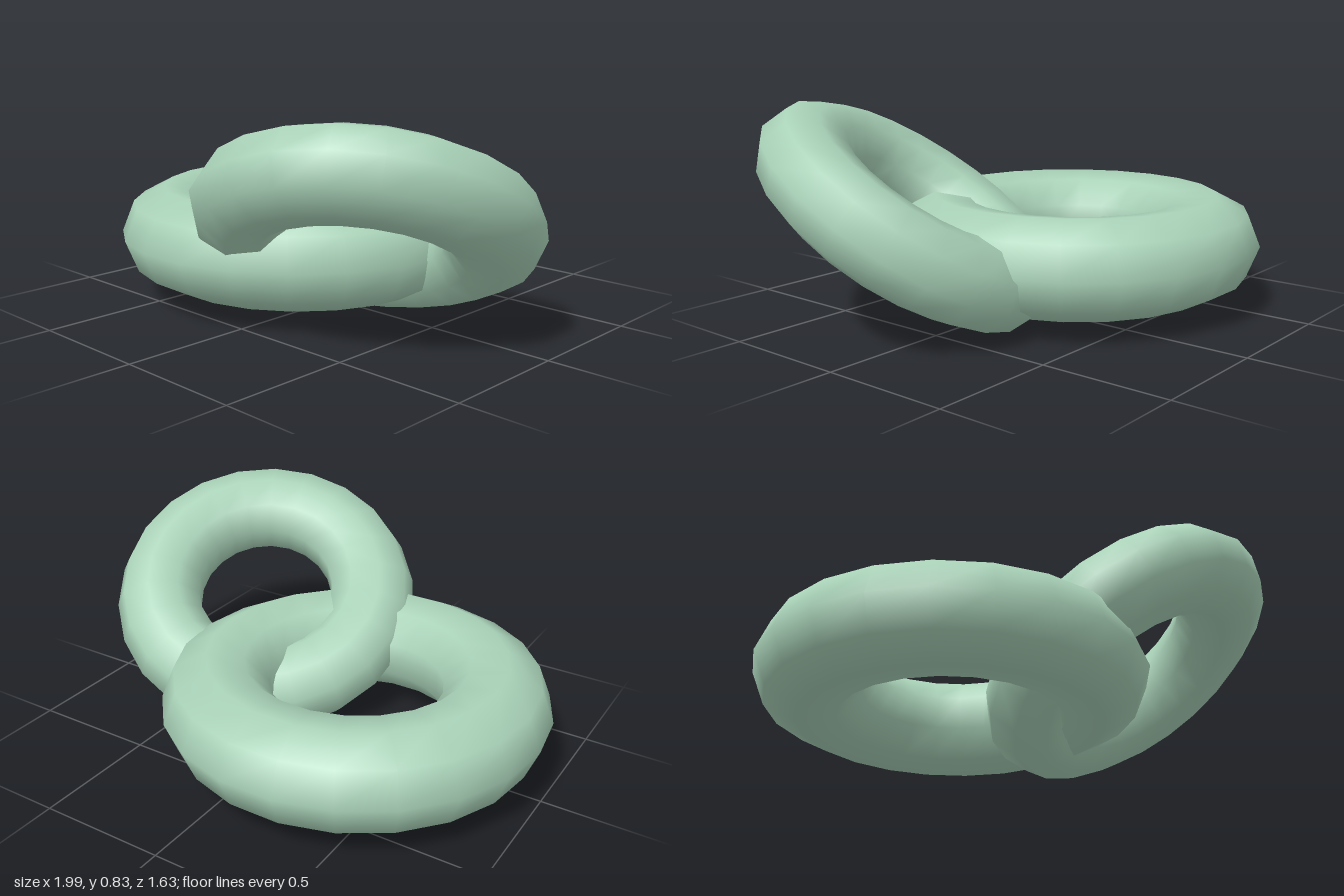
import * as THREE from 'three';

const green = new THREE.MeshStandardMaterial({ color: 0xa9d2b8 });
green.name = 'sageGreen';

// A slightly flattened ring lying flat, its axis along y
function makeRing(name, size) {
  const geometry = new THREE.TorusGeometry(0.536, 0.214, 9, 22);
  geometry.scale(1, 1, 0.91);
  geometry.rotateX(-Math.PI / 2);
  geometry.scale(size, size, size);
  const ring = new THREE.Mesh(geometry, green);
  ring.name = name;
  return ring;
}

export function createModel() {
  const group = new THREE.Group();
  group.name = 'linkedRings';

  // Large ring, level
  const large = makeRing('largeRing', 1);
  large.position.set(-0.25, 0.26, -0.073);
  group.add(large);

  // Small ring, tilted up towards the front left and linked through the large one
  const small = makeRing('smallRing', 0.85);
  const axis = new THREE.Vector3(-0.28, 0.835, -0.473).normalize();
  const across = new THREE.Vector3(1, 0, 0).projectOnPlane(axis).normalize();
  const along = new THREE.Vector3().crossVectors(across, axis);
  small.quaternion.setFromRotationMatrix(new THREE.Matrix4().makeBasis(across, axis, along));
  small.position.set(0.383, 0.422, 0.237);
  group.add(small);

  return group;
}
